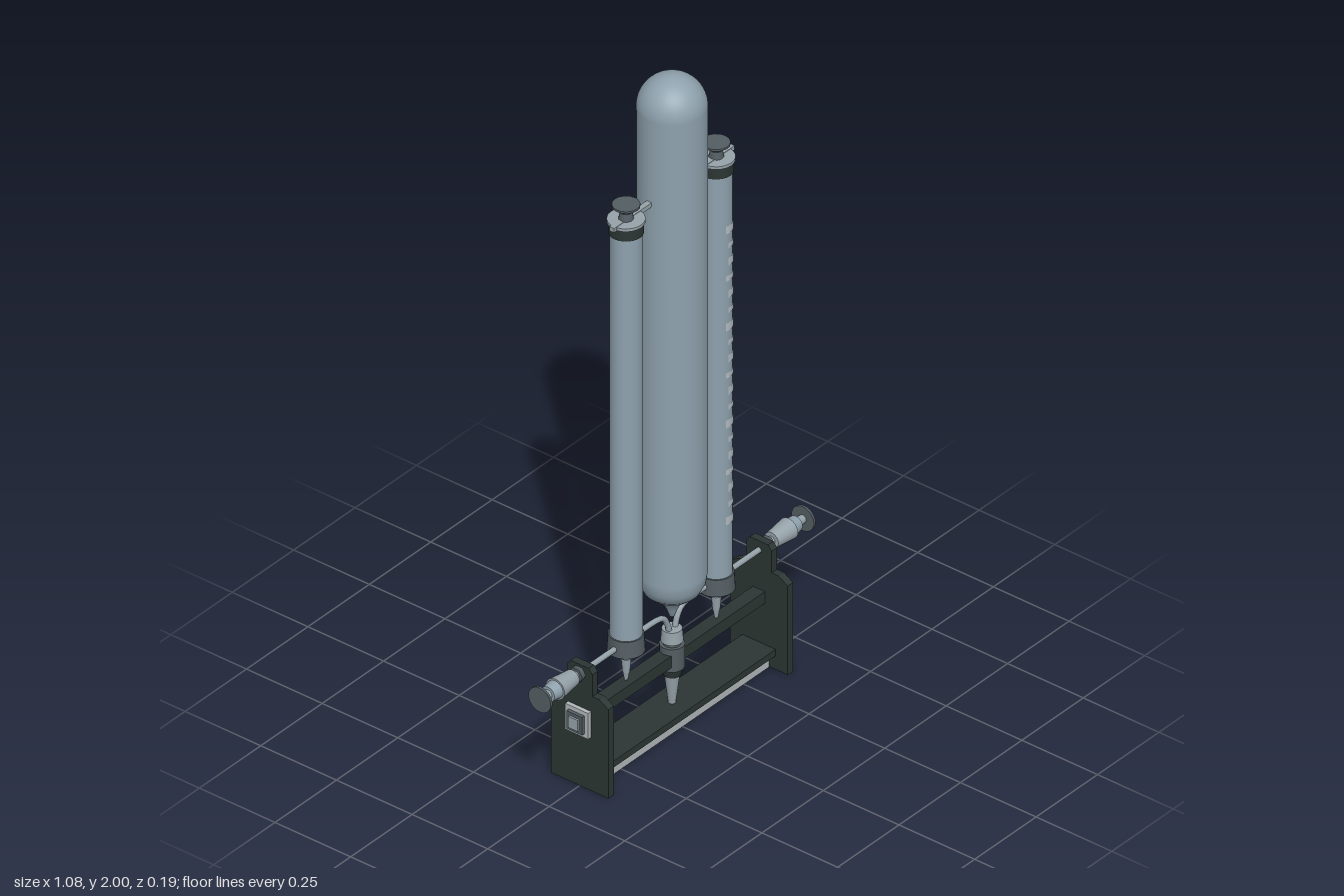
import * as THREE from 'three';

const mat = (name, color, side = THREE.FrontSide) => {
  const m = new THREE.MeshStandardMaterial({ color, side });
  m.name = name;
  return m;
};

export function createModel() {
  const root = new THREE.Group();
  const glass = mat('blueGreyGlass', 0x8fa2ae);
  const frame = mat('darkFrame', 0x2c3634);
  const cap = mat('greyCap', 0x545e63);
  const metal = mat('paleMetal', 0x96a3aa);
  const pale = mat('palePlastic', 0xb2b8ba);
  const mark = mat('scaleMark', 0xb4bec4, THREE.DoubleSide);

  const add = (name, geo, m, x = 0, y = 0, z = 0, parent = root) => {
    const mesh = new THREE.Mesh(geo, m);
    mesh.name = name;
    mesh.position.set(x, y, z);
    parent.add(mesh);
    return mesh;
  };
  const box = (name, w, h, d, m, x, y, z, parent) =>
    add(name, new THREE.BoxGeometry(w, h, d), m, x, y, z, parent);
  // Cylinder between two heights
  const cyl = (name, y0, y1, r0, r1, m, x = 0, parent = root, sides = 24) =>
    add(name, new THREE.CylinderGeometry(r1, r0, y1 - y0, sides), m, x, (y0 + y1) / 2, 0, parent);
  const tube = (name, pts, r, m) => {
    const curve = new THREE.CatmullRomCurve3(pts.map(p => new THREE.Vector3(...p)), false, 'centripetal');
    return add(name, new THREE.TubeGeometry(curve, 32, r, 10), m);
  };

  // Central reservoir: domed top, rounded base, drawn-out tip
  const R = 0.093, pts = [[0, 0.325], [0.007, 0.33], [0.014, 0.35], [0.03, 0.384], [0.055, 0.396],
    [0.075, 0.414], [0.088, 0.44], [R, 0.475]];
  for (let i = 0; i <= 14; i++) {
    const a = i / 14 * Math.PI / 2;
    pts.push([Math.max(0, R * Math.cos(a)), 2 - R + R * Math.sin(a)]);
  }
  add('reservoir', new THREE.LatheGeometry(pts.map(p => new THREE.Vector2(...p)), 48), glass);

  // Measuring columns
  for (const x of [-0.187, 0.18]) {
    const col = new THREE.Group();
    col.name = x < 0 ? 'rightColumn' : 'leftColumn';
    col.position.x = x;
    root.add(col);
    cyl('columnTube', 0.34, 1.63, 0.043, 0.043, glass, 0, col, 32);
    cyl('bottomCap', 0.325, 0.375, 0.05, 0.047, cap, 0, col);
    cyl('nozzleCollar', 0.3, 0.325, 0.018, 0.022, metal, 0, col, 12);
    cyl('nozzle', 0.255, 0.3, 0.01, 0.014, metal, 0, col, 12);
    cyl('nozzleTip', 0.23, 0.255, 0.005, 0.009, metal, 0, col, 12);
    cyl('topCap', 1.615, 1.648, 0.046, 0.046, frame, 0, col);
    cyl('topRing', 1.648, 1.657, 0.05, 0.05, metal, 0, col);
    cyl('stopperStem', 1.657, 1.68, 0.02, 0.016, cap, 0, col, 16);
    cyl('stopperFlare', 1.678, 1.695, 0.016, 0.036, metal, 0, col, 16);
    cyl('stopperTop', 1.695, 1.701, 0.037, 0.037, cap, 0, col, 16);
    // Arm holding the column to the reservoir
    const s = Math.sign(x);
    box('holdingArm', 0.155, 0.013, 0.016, metal, s * 0.168 - x, 1.652, 0, col);
  }

  // Graduations curved around the front of the left column
  for (let i = 0; i < 19; i++) {
    const w = i % 3 === 0 ? 0.95 : 0.6, y = 0.55 + i * 0.05;
    add('graduation', new THREE.CylinderGeometry(0.0445, 0.0445, i % 2 ? 0.016 : 0.024, 6, 1, true,
      0.2 - w / 2, w), mark, 0.18, y, 0);
  }

  // End plates with chamfered shoulders and a raised tongue
  const shape = new THREE.Shape();
  [[-0.095, 0], [0.095, 0], [0.095, 0.275], [0.065, 0.293], [0.042, 0.293], [0.042, 0.36], [0.03, 0.375],
    [-0.03, 0.375], [-0.042, 0.36], [-0.042, 0.293], [-0.065, 0.293], [-0.095, 0.275]]
    .forEach(([a, b], i) => (i ? shape.lineTo(a, b) : shape.moveTo(a, b)));
  for (const s of [-1, 1]) {
    const side = s < 0 ? 'right' : 'left';
    const plate = add(side + 'EndPlate',
      new THREE.ExtrudeGeometry(shape, { depth: 0.022, bevelEnabled: false }), frame, s * 0.365 - 0.011);
    plate.rotation.y = Math.PI / 2;

    // Square bar fixing
    box(side + 'FixingPlate', 0.012, 0.08, 0.076, pale, s * 0.382, 0.205, 0);
    box(side + 'FixingBlock', 0.01, 0.055, 0.052, cap, s * 0.393, 0.205, 0);
    box(side + 'FixingCentre', 0.007, 0.035, 0.032, metal, s * 0.4, 0.205, 0);

    // Side valve, modelled upright and laid outwards
    const valve = new THREE.Group();
    valve.name = side + 'Valve';
    valve.position.set(s * 0.37, 0.35, 0);
    valve.rotation.z = -s * Math.PI / 2;
    root.add(valve);
    cyl('valveNeck', 0, 0.035, 0.012, 0.012, metal, 0, valve, 12);
    cyl('valveNut', 0.008, 0.022, 0.022, 0.022, cap, 0, valve, 6);
    cyl('valveBody', 0.035, 0.105, 0.023, 0.031, metal, 0, valve);
    cyl('valveShoulder', 0.105, 0.135, 0.026, 0.022, glass, 0, valve);
    cyl('valveStem', 0.135, 0.162, 0.014, 0.012, metal, 0, valve, 12);
    cyl('valveKnob', 0.162, 0.169, 0.037, 0.037, cap, 0, valve);

    // Feed pipe bending down into the central tap
    tube(side + 'FeedPipe', [[s * 0.37, 0.347, 0], [s * 0.2, 0.347, 0], [s * 0.06, 0.346, 0],
      [s * 0.036, 0.338, 0], [s * 0.018, 0.31, 0], [s * 0.011, 0.28, 0]], 0.008, metal);
  }

  // Cross bar and base rail
  box('crossBar', 0.72, 0.036, 0.04, frame, 0, 0.208, 0);
  box('baseRail', 0.71, 0.02, 0.11, frame, 0, 0.052, 0);
  box('baseRib', 0.705, 0.042, 0.07, pale, 0, 0.021, 0);

  // Central tap
  cyl('tapInlet', 0.255, 0.292, 0.03, 0.027, metal);
  cyl('tapNeck', 0.24, 0.255, 0.024, 0.024, cap);
  cyl('tapCollar', 0.175, 0.245, 0.034, 0.034, cap, 0, root, 12);
  cyl('tapNut', 0.15, 0.175, 0.024, 0.03, frame, 0, root, 12);
  cyl('tapSpout', 0.062, 0.15, 0.01, 0.021, metal, 0, root, 16);
  return root;
}
